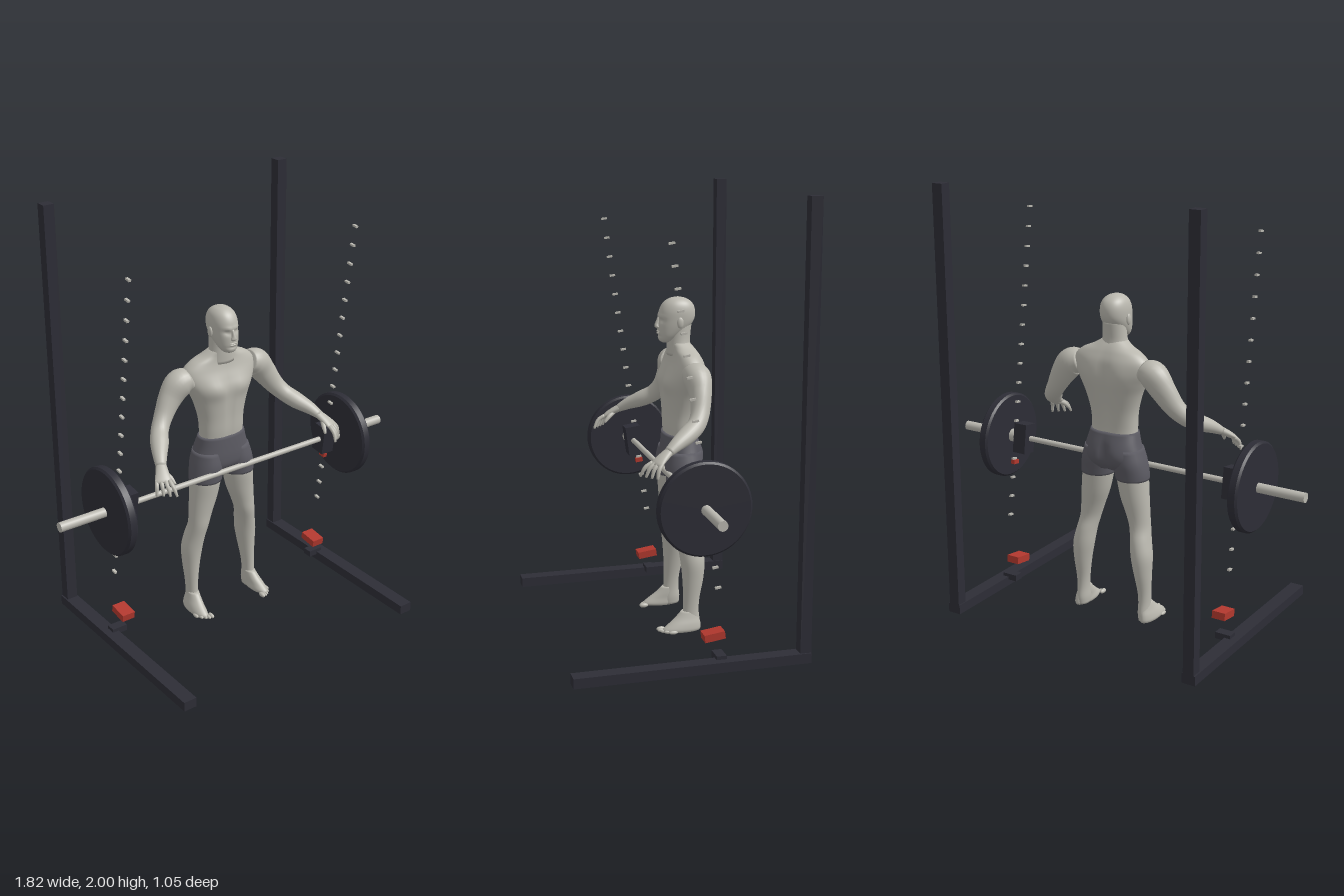
import * as THREE from 'three';
import { toCreasedNormals } from 'three/addons/utils/BufferGeometryUtils.js';

const mat = (name, color) => {
  const m = new THREE.MeshStandardMaterial({ color });
  m.name = name;
  return m;
};

// Closed skin through oval sections [x, y, z, halfWidth, halfDepth].
// Sections lie flat (listed top to bottom), or square to the path when along is true.
function loft(rows, { n = 24, steps = 4, e = 2, along = false, relief } = {}) {
  const curve = (f) => new THREE.CatmullRomCurve3(rows.map(f), false, 'catmullrom', 0.5);
  const path = curve((r) => new THREE.Vector3(r[0], r[1], r[2]));
  const size = curve((r) => new THREE.Vector3(r[3], r[4], 0));
  const up = new THREE.Vector3(0, 1, 0);
  const count = (rows.length - 1) * steps;
  const pos = [], index = [];
  const power = (v) => Math.sign(v) * Math.pow(Math.abs(v), 2 / e);
  for (let i = 0; i <= count; i++) {
    const c = path.getPoint(i / count), s = size.getPoint(i / count);
    const side = new THREE.Vector3(1, 0, 0), out = new THREE.Vector3(0, 0, 1);
    if (along) {
      const t = path.getTangent(i / count);
      side.crossVectors(up, t).normalize();
      out.crossVectors(t, side);
    }
    for (let j = 0; j < n; j++) {
      const a = (j / n) * Math.PI * 2;
      const p = c.clone().addScaledVector(side, s.x * power(Math.cos(a))).addScaledVector(out, s.y * power(Math.sin(a)));
      if (relief) p.z += relief(p.x, p.y, Math.sin(a));
      pos.push(p.x, p.y, p.z);
      if (i < count) {
        const k = i * n + j, l = i * n + ((j + 1) % n);
        index.push(k, l, k + n, l, l + n, k + n);
      }
    }
  }
  const first = pos.length / 3, last = count * n;
  pos.push(...path.getPoint(0).toArray(), ...path.getPoint(1).toArray());
  for (let j = 0; j < n; j++) {
    const k = (j + 1) % n;
    index.push(first, k, j, first + 1, last + j, last + k);
  }
  const g = new THREE.BufferGeometry();
  g.setAttribute('position', new THREE.Float32BufferAttribute(pos, 3));
  g.setIndex(index);
  g.computeVertexNormals();
  return g;
}

// Section from centre x, height, half width, front z and back z
const row = ([x, y, w, f, b], s = 1) => [x * s, y, (f + b) / 2, w, (f - b) / 2];
const bump = (x, y, cx, cy, rx, ry) => Math.exp(-(((x - cx) / rx) ** 2) - ((y - cy) / ry) ** 2);

export function createModel() {
  const model = new THREE.Group();
  const skin = mat('pale skin', 0xbab8af);
  const cloth = mat('grey cloth', 0x5b5a62);
  const dark = mat('dark frame', 0x2d2d36);
  const steel = mat('light steel', 0xb9b7af);
  const red = mat('red stop', 0xb2382e);

  const add = (name, geometry, material, p = [0, 0, 0], parent = model) => {
    const m = new THREE.Mesh(geometry, material);
    m.name = name;
    m.position.set(...p);
    parent.add(m);
    return m;
  };
  const box = (name, material, size, p) => add(name, new THREE.BoxGeometry(...size), material, p);
  const rod = (name, r, x0, x1) => {
    const g = new THREE.CylinderGeometry(r, r, x1 - x0, 24).rotateZ(Math.PI / 2);
    return add(name, g, steel, [(x0 + x1) / 2, 0.735, -0.035]);
  };

  // Figure
  const body = new THREE.Group();
  body.name = 'figure';
  model.add(body);
  const part = (name, rows, opts, material = skin) => add(name, loft(rows, opts), material, [0, 0, 0], body);
  const ball = (name, p, s) => add(name, new THREE.SphereGeometry(1, 16, 12), skin, p, body).scale.set(...s);

  // Torso with chest, belly line, shoulder blades and spine
  part('torso', [
    [0, 1.32, 0.055, -0.065, -0.155], [0, 1.295, 0.095, -0.07, -0.175], [0, 1.27, 0.15, -0.07, -0.19],
    [0, 1.235, 0.185, -0.062, -0.205], [0, 1.19, 0.187, -0.047, -0.212], [0, 1.14, 0.165, -0.035, -0.212],
    [0, 1.08, 0.138, -0.035, -0.203], [0, 1.0, 0.116, -0.04, -0.188], [0, 0.93, 0.111, -0.043, -0.18],
    [0, 0.87, 0.112, -0.05, -0.18],
  ].map((r) => row(r)), {
    n: 48, steps: 6, e: 2.3,
    relief: (x, y, s) => s > 0
      ? s * (0.014 * bump(Math.abs(x), y, 0.075, 1.145, 0.06, 0.045) - 0.007 * bump(x, y, 0, 1.07, 0.013, 0.16))
      : s * (0.008 * bump(Math.abs(x), y, 0.08, 1.18, 0.05, 0.07) - 0.014 * bump(x, y, 0, 1.07, 0.02, 0.15)),
  });
  part('neck', [
    [0, 1.41, 0.05, -0.065, -0.17], [0, 1.35, 0.054, -0.06, -0.163], [0, 1.31, 0.06, -0.057, -0.163],
    [0, 1.26, 0.075, -0.058, -0.175],
  ].map((r) => row(r)));

  // Head with eye sockets and brow
  part('head', [
    [0, 1.521, 0.008, -0.09, -0.115], [0, 1.512, 0.034, -0.062, -0.146], [0, 1.492, 0.053, -0.037, -0.172],
    [0, 1.46, 0.062, -0.021, -0.184], [0, 1.42, 0.062, -0.016, -0.18], [0, 1.385, 0.057, -0.013, -0.155],
    [0, 1.35, 0.046, -0.014, -0.11], [0, 1.328, 0.031, -0.02, -0.08], [0, 1.318, 0.012, -0.035, -0.065],
  ].map((r) => row(r)), {
    n: 40, steps: 6, e: 2.15,
    relief: (x, y, s) => s > 0
      ? s * (0.005 * bump(Math.abs(x), y, 0.02, 1.438, 0.022, 0.009) - 0.009 * bump(Math.abs(x), y, 0.025, 1.42, 0.014, 0.011)
        - 0.005 * bump(x, y, 0, 1.35, 0.025, 0.005))
      : 0,
  });
  part('nose', [
    [0, 1.433, -0.02, 0.006, 0.007], [0, 1.405, -0.013, 0.009, 0.012], [0, 1.39, -0.011, 0.015, 0.012],
    [0, 1.382, -0.015, 0.008, 0.007],
  ], { n: 14 });
  ball('upperLip', [0, 1.369, -0.015], [0.02, 0.004, 0.006]);
  ball('lowerLip', [0, 1.361, -0.015], [0.017, 0.005, 0.006]);

  // Shorts seat
  part('shortsSeat', [
    [0, 0.904, 0.117, -0.039, -0.184], [0, 0.85, 0.131, -0.035, -0.203], [0, 0.8, 0.146, -0.033, -0.208],
    [0, 0.76, 0.15, -0.037, -0.2], [0, 0.728, 0.13, -0.055, -0.175],
  ].map((r) => row(r)), {
    n: 48, steps: 5, e: 2.3,
    relief: (x, y, s) => (s < 0 ? s * (0.01 * bump(Math.abs(x), y, 0.06, 0.8, 0.05, 0.05) - 0.022 * bump(x, y, 0, 0.79, 0.015, 0.06)) : 0),
  }, cloth);

  for (const s of [1, -1]) {
    const side = s > 0 ? 'left' : 'right';
    const m = (r) => [r[0] * s, ...r.slice(1)];
    ball(side + 'Ear', [0.065 * s, 1.412, -0.1], [0.008, 0.025, 0.015]);

    // Legs
    part(side + 'ShortsLeg', [
      [0.078, 0.83, 0.062, -0.04, -0.195], [0.083, 0.77, 0.075, -0.029, -0.2], [0.089, 0.72, 0.079, -0.03, -0.192],
      [0.092, 0.686, 0.078, -0.032, -0.187],
    ].map((r) => row(r, s)), {}, cloth);
    part(side + 'Leg', [
      [0.088, 0.74, 0.07, -0.04, -0.185], [0.093, 0.685, 0.073, -0.037, -0.182], [0.105, 0.6, 0.068, -0.047, -0.175],
      [0.122, 0.52, 0.056, -0.055, -0.165], [0.134, 0.46, 0.048, -0.058, -0.165], [0.146, 0.4, 0.047, -0.069, -0.182],
      [0.157, 0.33, 0.049, -0.08, -0.191], [0.163, 0.25, 0.04, -0.087, -0.184], [0.167, 0.16, 0.03, -0.09, -0.166],
      [0.168, 0.1, 0.027, -0.088, -0.162], [0.168, 0.05, 0.029, -0.08, -0.167], [0.168, 0.015, 0.026, -0.08, -0.163],
    ].map((r) => row(r, s)), { n: 28 });
    part(side + 'Foot', [
      [0.168, 0.1, 0.025, -0.08, -0.155], [0.172, 0.07, 0.03, -0.05, -0.162], [0.177, 0.045, 0.034, -0.018, -0.168],
      [0.179, 0.022, 0.037, 0.01, -0.17], [0.179, 0.01, 0.033, 0.006, -0.165],
    ].map((r) => row(r, s)));
    for (let i = 0; i < 5; i++) {
      const r = i === 0 ? 0.011 : 0.0085;
      ball(side + 'Toe', [(0.153 + i * 0.0145) * s, 0.01 + r * 0.6, 0.013 - i * i * 0.0028], [r, r, 0.021]);
    }

    // Arms and hands
    part(side + 'Arm', [
      [0.165, 1.205, -0.13, 0.055, 0.05], [0.215, 1.187, -0.135, 0.062, 0.065], [0.262, 1.13, -0.135, 0.05, 0.058],
      [0.31, 1.06, -0.12, 0.042, 0.046], [0.35, 1.012, -0.09, 0.04, 0.04], [0.385, 0.98, -0.04, 0.041, 0.038],
      [0.42, 0.952, 0.015, 0.032, 0.029], [0.445, 0.925, 0.06, 0.023, 0.019],
    ].map(m), { along: true, steps: 5 });
    part(side + 'Palm', [
      [0.438, 0.933, 0.048, 0.022, 0.018], [0.458, 0.908, 0.088, 0.03, 0.016], [0.472, 0.889, 0.115, 0.035, 0.012],
      [0.477, 0.881, 0.125, 0.03, 0.007],
    ].map(m), { along: true });
    for (let i = 0; i < 4; i++) {
      const o = (i - 1.5) * 0.018, k = i / 3;
      const [x, y, z] = [0.472 + 0.8 * o, 0.89, 0.115 - 0.6 * o];
      part(side + 'Finger', [
        [x, y, z, 0.009, 0.009], [x + 0.012 * k, y - 0.022, z + 0.032 - 0.014 * k, 0.009, 0.009],
        [x + 0.025 * k - 0.006, y - 0.06, z + 0.052 - 0.026 * k, 0.0055, 0.0055],
      ].map(m), { n: 10, along: true });
    }
    part(side + 'Thumb', [
      [0.448, 0.91, 0.08, 0.012, 0.012], [0.431, 0.888, 0.112, 0.011, 0.01], [0.422, 0.862, 0.135, 0.006, 0.006],
    ].map(m), { n: 10, along: true });

    // Rack frame
    box(side + 'Upright', dark, [0.052, 2, 0.05], [0.627 * s, 1, -0.5]);
    box(side + 'BaseRail', dark, [0.064, 0.045, 1.05], [0.628 * s, 0.0225, 0]);
    box(side + 'BaseBracket', dark, [0.075, 0.03, 0.045], [0.588 * s, 0.046, -0.128]);

    // Slanted row of pegs
    const tilt = 0.138;
    for (let i = 0; i < 17; i++) {
      box(side + 'Peg', steel, [0.012, 0.009, 0.026], [0.597 * s, 1.822 - i * 0.0913, 0.091 - i * 0.013]).rotation.x = tilt;
    }

    // Carriage and safety stops
    box(side + 'Carriage', dark, [0.068, 0.141, 0.074], [0.564 * s, 0.735, -0.04]).rotation.x = tilt;
    box(side + 'SafetyStop', red, [0.064, 0.034, 0.092], [0.565 * s, 0.138, -0.107]).rotation.x = tilt;
    box(side + 'SafetyPin', red, [0.02, 0.02, 0.035], [0.593 * s, 0.62, -0.077]).rotation.x = tilt;

    // Weight plate and bar sleeve
    const [r, h, c] = [0.203, 0.024, 0.009];
    const profile = [[0, -h], [r - c, -h], [r, c - h], [r, h - c], [r - c, h], [0, h]].map((p) => new THREE.Vector2(...p));
    const plate = toCreasedNormals(new THREE.LatheGeometry(profile, 48), 0.5).rotateZ(Math.PI / 2);
    add(side + 'WeightPlate', plate, dark, [0.659 * s, 0.735, -0.035]);
    const span = (a, b) => (s > 0 ? [a, b] : [-b, -a]);
    rod(side + 'Sleeve', 0.022, ...span(0.55, 0.908));
    rod(side + 'Collar', 0.031, ...span(0.59, 0.636));
  }
  rod('bar', 0.013, -0.56, 0.56);
  return model;
}
